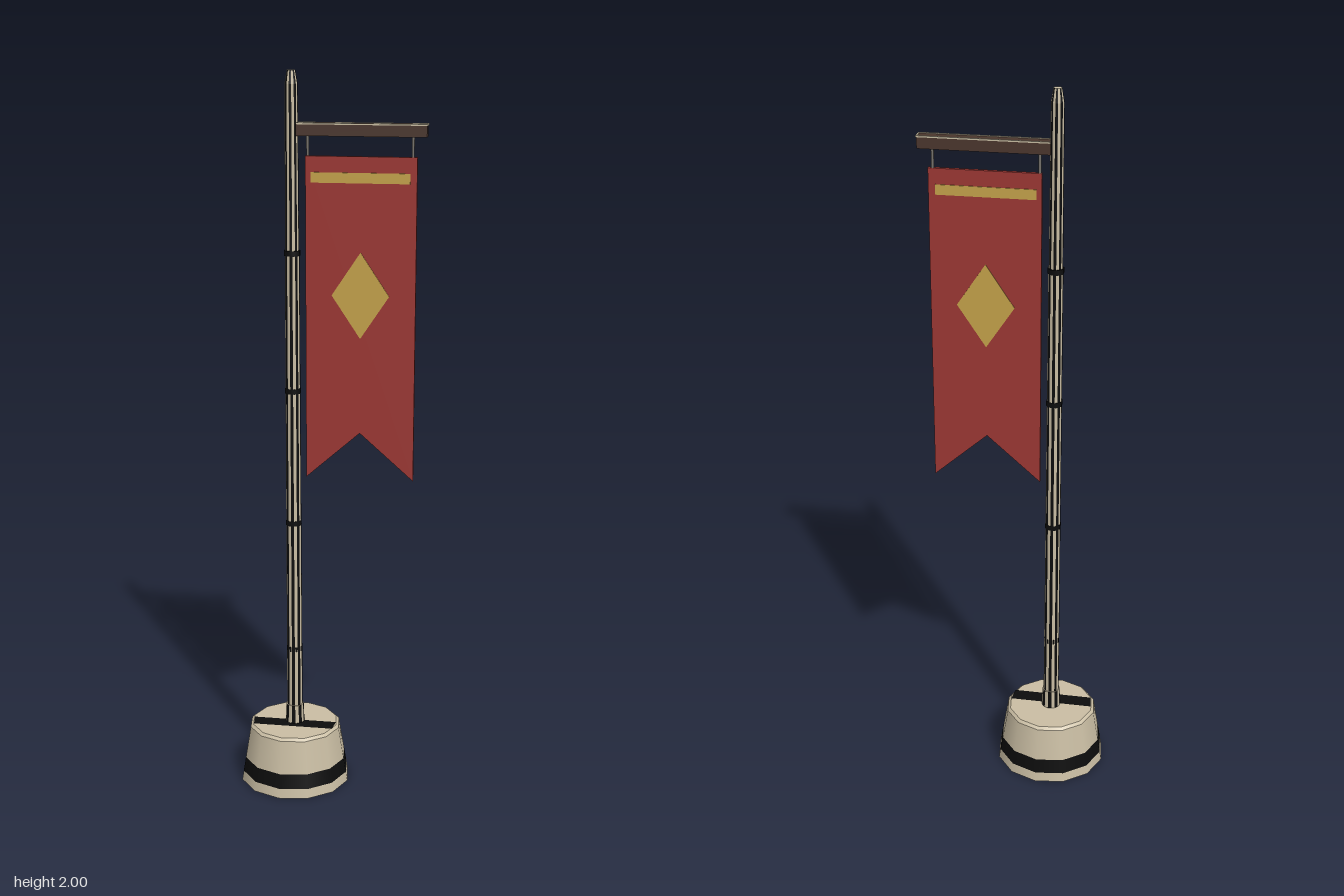
import * as THREE from 'three';

const mat = (name, color, side = THREE.FrontSide) => {
  const m = new THREE.MeshStandardMaterial({ color, side });
  m.name = name;
  return m;
};

export function createModel() {
  const stone = mat('pale stone', 0xc9bda3, THREE.DoubleSide);
  const black = mat('black', 0x0c0c0c, THREE.DoubleSide);
  const wood = mat('dark wood', 0x4a362d);
  const red = mat('red cloth', 0x9c3733);
  const gold = mat('gold', 0xc4a24a);
  const grey = mat('grey cord', 0x77736c);

  const model = new THREE.Group();
  model.name = 'bannerStand';
  const add = (parent, name, geometry, material, x = 0, y = 0, z = 0) => {
    const mesh = new THREE.Mesh(geometry, material);
    mesh.name = name;
    mesh.position.set(x, y, z);
    parent.add(mesh);
    return mesh;
  };

  // Hollow twelve-sided foot, open below, with a painted band
  const foot = new THREE.Group();
  foot.name = 'foot';
  foot.position.x = -0.101;
  model.add(foot);
  const turn = Math.PI / 8;
  const wall = (y) => 0.157 - 0.165 * y;
  const bands = [
    ['footRim', 0, 0.027, stone],
    ['footBand', 0.027, 0.069, black],
    ['footWall', 0.069, 0.163, stone],
  ];
  for (const [name, y0, y1, m] of bands) {
    add(foot, name, new THREE.CylinderGeometry(wall(y1), wall(y0), y1 - y0, 12, 1, true, turn), m, 0, (y0 + y1) / 2);
  }
  add(foot, 'footBevel', new THREE.CylinderGeometry(0.122, wall(0.163), 0.007, 12, 1, true, turn), stone, 0, 0.1665);
  const top = new THREE.CircleGeometry(0.122, 12, turn - Math.PI / 2);
  add(foot, 'footTop', top.rotateX(-Math.PI / 2), stone, 0, 0.17);

  // Dark stripe across the top of the foot
  const stripe = new THREE.Shape([[-0.118, 0], [0.119, 0], [0.114, -0.044], [-0.112, -0.044]].map(([x, z]) => new THREE.Vector2(x, z)));
  add(foot, 'footTopStripe', new THREE.ShapeGeometry(stripe).rotateX(-Math.PI / 2), black, 0, 0.1715);

  // Tapered pole with alternating narrow light and dark faces
  const pole = new THREE.Group();
  pole.name = 'pole';
  pole.position.x = -0.101;
  model.add(pole);
  const sections = [
    ['poleSocket', 0.17, 0.225, 0.027, 0.025],
    ['poleShaft', 0.225, 1.53, 0.022, 0.0195],
    ['poleUpper', 1.53, 1.965, 0.0185, 0.017],
    ['poleTip', 1.965, 2, 0.017, 0.011],
  ];
  for (const [name, y0, y1, r0, r1] of sections) {
    const g = new THREE.CylinderGeometry(r1, r0, y1 - y0, 16, 1, false, -Math.PI / 16);
    g.clearGroups();
    for (let i = 0; i < 16; i++) g.addGroup(i * 6, 6, i % 2 ? 0 : 1);
    g.addGroup(96, 96, 0);
    add(pole, name, g, [stone, black], 0, (y0 + y1) / 2);
  }
  for (const y of [0.397, 0.773, 1.15, 1.526]) {
    add(pole, 'poleRing', new THREE.CylinderGeometry(0.0225, 0.0225, 0.014, 8, 1, false, Math.PI / 8), black, 0, y);
  }

  // Cross bar with pale worn edges along the top
  add(model, 'crossBar', new THREE.BoxGeometry(0.342, 0.032, 0.034), wood, 0.084, 1.85);
  for (const s of [-1, 1]) {
    add(model, 'crossBarEdge', new THREE.BoxGeometry(0.342, 0.004, 0.005), stone, 0.085, 1.8655, s * 0.0155);
  }
  add(model, 'crossBarEndEdge', new THREE.BoxGeometry(0.004, 0.004, 0.036), stone, 0.255, 1.8655);

  // Cords holding the cloth
  for (const x of [-0.058, 0.218]) {
    add(model, 'cord', new THREE.CylinderGeometry(0.004, 0.004, 0.065, 6), grey, x, 1.808);
  }

  // Swallow-tailed cloth
  const plate = (points, depth) => {
    const shape = new THREE.Shape(points.map(([x, y]) => new THREE.Vector2(x, y)));
    return new THREE.ExtrudeGeometry(shape, { depth, bevelEnabled: false }).translate(0, 0, -depth / 2);
  };
  const banner = new THREE.Group();
  banner.name = 'banner';
  model.add(banner);
  add(banner, 'cloth', plate([[-0.064, 1.782], [-0.064, 0.908], [0.083, 1.038], [0.23, 0.908], [0.23, 1.782]], 0.01), red);

  // Gold bar and diamond on both faces
  const bar = [[-0.05, 1.74], [-0.05, 1.713], [0.212, 1.713], [0.212, 1.74]];
  const diamond = [[0.083, 1.532], [0.006, 1.416], [0.083, 1.3], [0.16, 1.416]];
  for (const s of [-1, 1]) {
    add(banner, 'goldBar', plate(bar, 0.003), gold, 0, 0, s * 0.0055);
    add(banner, 'goldDiamond', plate(diamond, 0.003), gold, 0, 0, s * 0.0055);
  }
  return model;
}
